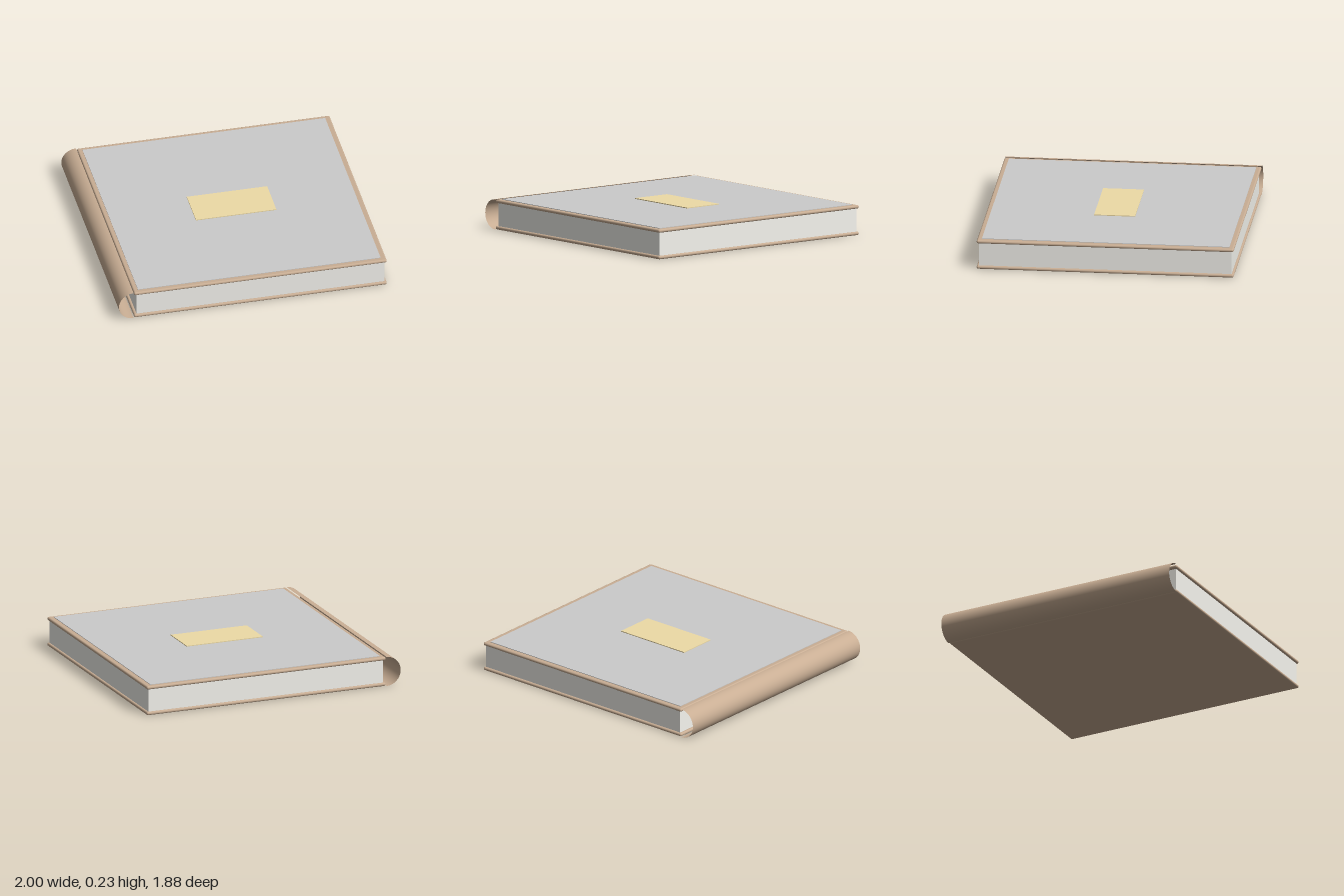
import * as THREE from 'three';
import { RoundedBoxGeometry } from 'three/addons/geometries/RoundedBoxGeometry.js';

const COVER = 0xc9ae94, PAGES = 0xf5f4ee, PLATE = 0xeedba6, PANEL = 0xcccccc;
const THICK = 0.025;   // cover board thickness
const HEIGHT = 0.22;   // closed book without the panel and plate
const DEPTH = 1.88;

export function createModel() {
  const book = new THREE.Group();
  book.name = 'book';

  const add = (name, geometry, color, x, y, z = 0, side = THREE.FrontSide) => {
    const mesh = new THREE.Mesh(geometry, new THREE.MeshStandardMaterial({ color, side }));
    mesh.name = name;
    mesh.position.set(x, y, z);
    book.add(mesh);
    return mesh;
  };

  // Two boards with rounded edges
  for (const [name, y] of [['backCover', THICK / 2], ['frontCover', HEIGHT - THICK / 2]]) {
    add(name, new RoundedBoxGeometry(1.885, THICK, DEPTH, 4, 0.012), COVER, 0.0575, y);
  }

  // Page block, set in slightly from the boards
  add('pages', new THREE.BoxGeometry(1.85, HEIGHT - 2 * THICK + 0.01, 1.85), PAGES, 0.06, HEIGHT / 2);

  // Spine: thin open half tube along z, bulging to -x
  const spine = new THREE.CylinderGeometry(HEIGHT / 2, HEIGHT / 2, DEPTH, 32, 1, true, Math.PI, Math.PI);
  spine.rotateX(Math.PI / 2);
  add('spine', spine, COVER, -0.89, HEIGHT / 2, 0, THREE.DoubleSide);

  // Inset panel on the front cover
  add('coverPanel', new THREE.BoxGeometry(1.81, 0.01, 1.81), PANEL, 0.055, HEIGHT - 0.001);

  // Title plate, left blank
  add('titlePlate', new THREE.BoxGeometry(0.6, 0.01, 0.3), PLATE, 0.055, 0.225);

  return book;
}
